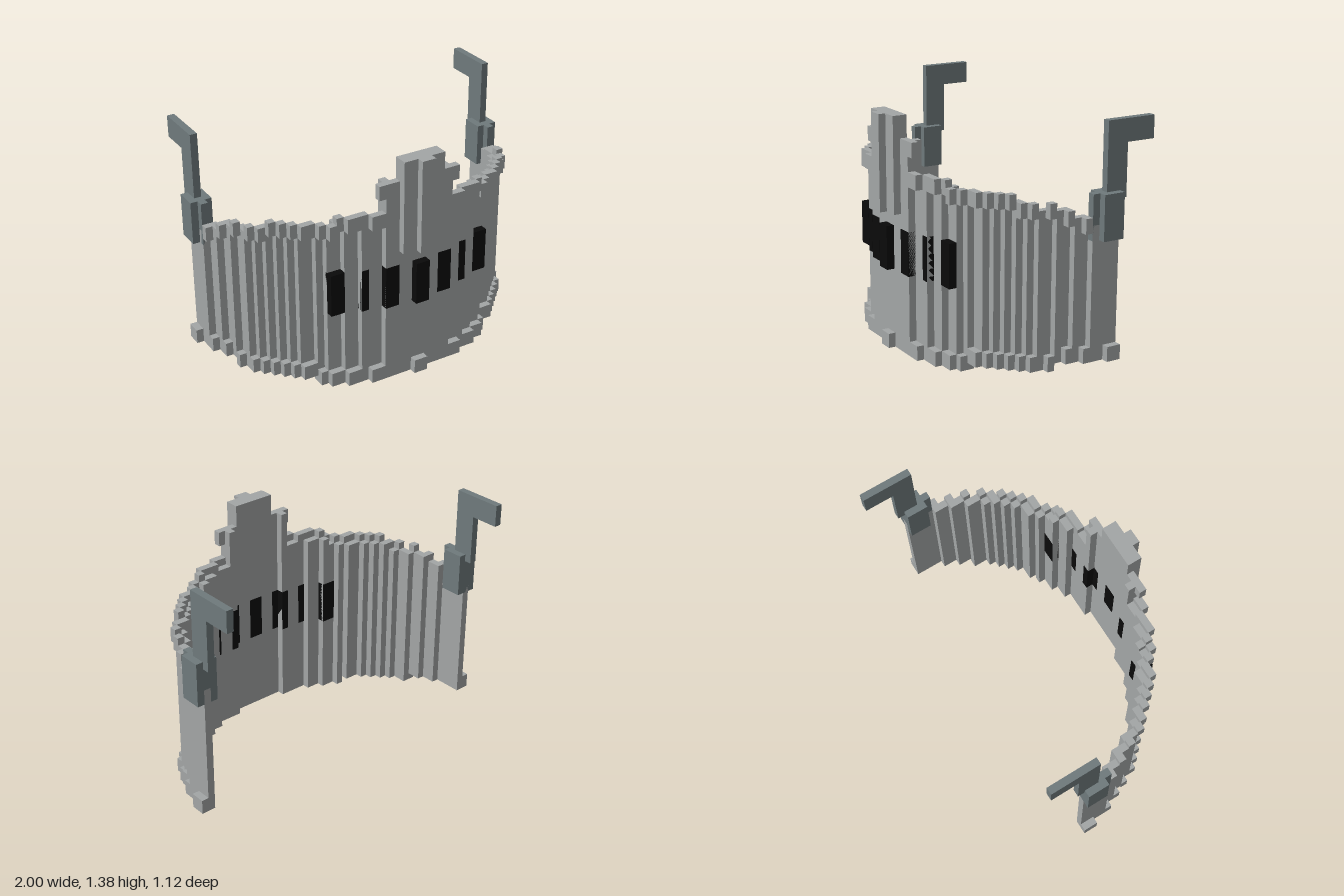
import * as THREE from 'three';

const U = 1 / 24; // one block

export function createModel() {
  const model = new THREE.Group();
  model.name = 'visor';
  const material = (name, color) => {
    const m = new THREE.MeshStandardMaterial({ color });
    m.name = name;
    return m;
  };
  const steel = material('light steel', 0xa3a6a6);
  const iron = material('dark iron', 0x6f7a7c);
  const black = material('slit black', 0x0a0a0a);

  // Block from x0..x1, y0..y1 and depth f..b, counted in blocks from the foremost face
  function block(name, mat, x0, x1, y0, y1, f, b, grow = 0) {
    const g = new THREE.BoxGeometry((x1 - x0) * U, (y1 - y0) * U, (b - f) * U + grow * 2);
    const mesh = new THREE.Mesh(g, mat);
    mesh.name = name;
    mesh.position.set((x0 + x1) / 2 * U, (y0 + y1) / 2 * U, (13.5 - (f + b) / 2) * U);
    model.add(mesh);
  }
  // The same block on both sides
  function pair(name, mat, x0, x1, ...rest) {
    block(name + 'Left', mat, x0, x1, ...rest);
    block(name + 'Right', mat, -x1, -x0, ...rest);
  }

  // Curved wall: x0, x1, rim front, wall front, wall back, bottom, rim top, rim bottom
  const columns = [
    [0, 1, 1, 2, 3, 0, 25], [1, 4, 2, 2, 3, 0, 25], [4, 5, 2, 2, 4, 0, 25],
    [5, 7, 2, 3, 4, 0, 25], [7, 8, 3, 3, 4, 0, 25], [8, 10, 3, 4, 5, 0, 25],
    [10, 11, 4, 5, 6, 0, 25], [11, 12, 4, 5, 6, 0, 24], [12, 13, 5, 6, 7, 0, 24],
    [13, 15, 6, 7, 8, 1, 24], [15, 16, 7, 8, 9, 1, 24], [16, 17, 8, 9, 10, 1, 24],
    [17, 18, 9, 10, 11, 1, 24], [18, 19, 10, 11, 12, 1, 23], [19, 20, 11, 12, 14, 1, 23],
    [20, 21, 13, 14, 16, 2, 23, 1], [21, 22, 15, 16, 18, 2, 22], [22, 23, 17, 18, 22, 2, 21],
  ];
  for (const [x0, x1, rim, f, b, y0, top, rimY = y0] of columns) {
    const hasRim = rim < f;
    pair('wall', steel, x0, x1, y0, hasRim ? top - 1 : top, f, b);
    if (!hasRim) continue;
    pair('lowerRim', steel, x0, x1, rimY, rimY + 2, rim, f);
    if (x0 > 0) pair('upperRim', steel, x0, x1, top - 2, top, rim, f);
  }
  pair('rimEnd', steel, 23, 24, 2, 4, 20, 22);

  // Raised crest over the brow
  block('crestBack', steel, -4, 4, 24, 29, 2, 3);
  pair('crestShoulder', steel, 4, 5, 24, 29, 2, 4);
  pair('crestTab', steel, 5, 6, 27, 29, 2, 3);
  block('crestTop', steel, -3, 3, 29, 32, 2, 3);
  block('crestPlate', steel, -3, 3, 19, 32, 1, 2);
  block('crestRidge', steel, -1, 1, 19, 32, 0, 1);

  // Dark slits passing through the wall
  block('slitCentre', black, -1, 1, 11, 17, 1, 3, 0.003);
  pair('slitInner', black, 3, 4, 11, 17, 2, 3, 0.003);
  pair('slitInnerEdge', black, 4, 5, 11, 17, 2, 4, 0.003);
  pair('slitMiddle', black, 7, 8, 11, 17, 3, 4, 0.003);
  pair('slitOuter', black, 10, 12, 11, 17, 4, 6, 0.003);

  // Side brackets and arms
  pair('bracket', iron, 21, 24, 18, 24, 19, 22);
  pair('bracketFront', iron, 22, 23, 18, 24, 18, 19);
  pair('armPost', iron, 22, 23, 23, 30, 20, 23);
  pair('armBar', iron, 22, 23, 30, 33, 20, 27);

  return model;
}
